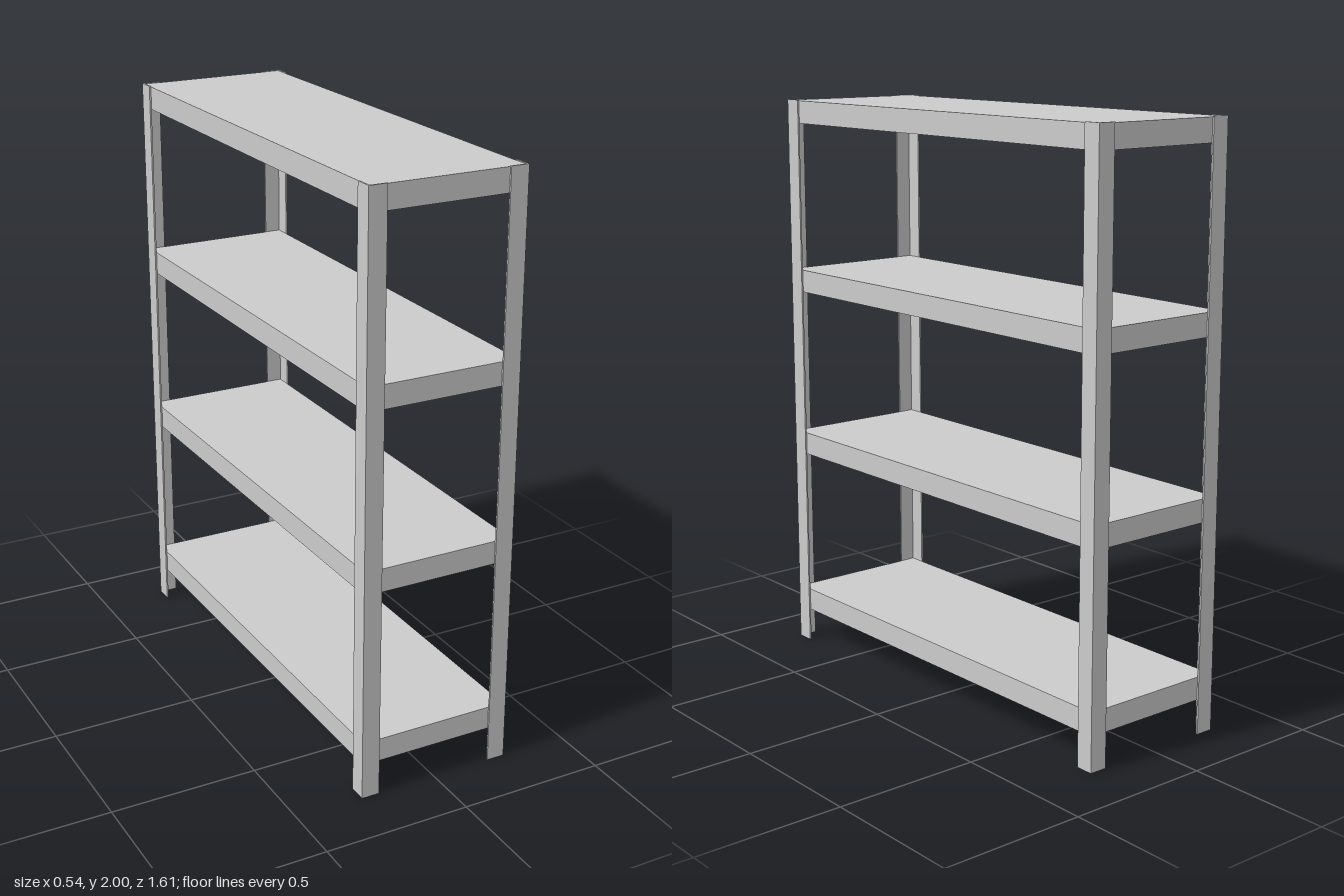
import * as THREE from 'three';

const HALF_X = 0.268, HALF_Z = 0.805; // outer footprint
const FLANGE = 0.062, THICK = 0.006;  // angle-iron post section
const HEIGHT = 2;

export function createModel() {
  const group = new THREE.Group();
  group.name = 'shelvingUnit';
  const metal = new THREE.MeshStandardMaterial({ color: 0xcccccc });

  // L-section, corner at the origin, flanges running along +x and +y
  const section = new THREE.Shape([
    [0, 0], [FLANGE, 0], [FLANGE, THICK], [THICK, THICK], [THICK, FLANGE], [0, FLANGE],
  ].map(([x, y]) => new THREE.Vector2(x, y)));
  const postGeometry = new THREE.ExtrudeGeometry(section, { depth: HEIGHT, bevelEnabled: false });
  postGeometry.rotateX(-Math.PI / 2); // stand upright: flanges along +x and -z

  // Four corner posts, each turned so its flanges wrap inwards
  const corners = [
    ['frontRightPost', -1, 1, 0],
    ['frontLeftPost', 1, 1, 1],
    ['backLeftPost', 1, -1, 2],
    ['backRightPost', -1, -1, 3],
  ];
  for (const [name, sx, sz, turn] of corners) {
    const post = new THREE.Mesh(postGeometry, metal);
    post.name = name;
    post.position.set(sx * HALF_X, 0, sz * HALF_Z);
    post.rotation.y = turn * Math.PI / 2;
    group.add(post);
  }

  // Four evenly spaced shelves fitted inside the posts
  const shelfGeometry = new THREE.BoxGeometry(2 * (HALF_X - THICK), 0.079, 2 * (HALF_Z - THICK));
  for (let i = 0; i < 4; i++) {
    const shelf = new THREE.Mesh(shelfGeometry, metal);
    shelf.name = `shelf${i + 1}`;
    shelf.position.y = 0.158 + i * 0.6;
    group.add(shelf);
  }
  return group;
}
